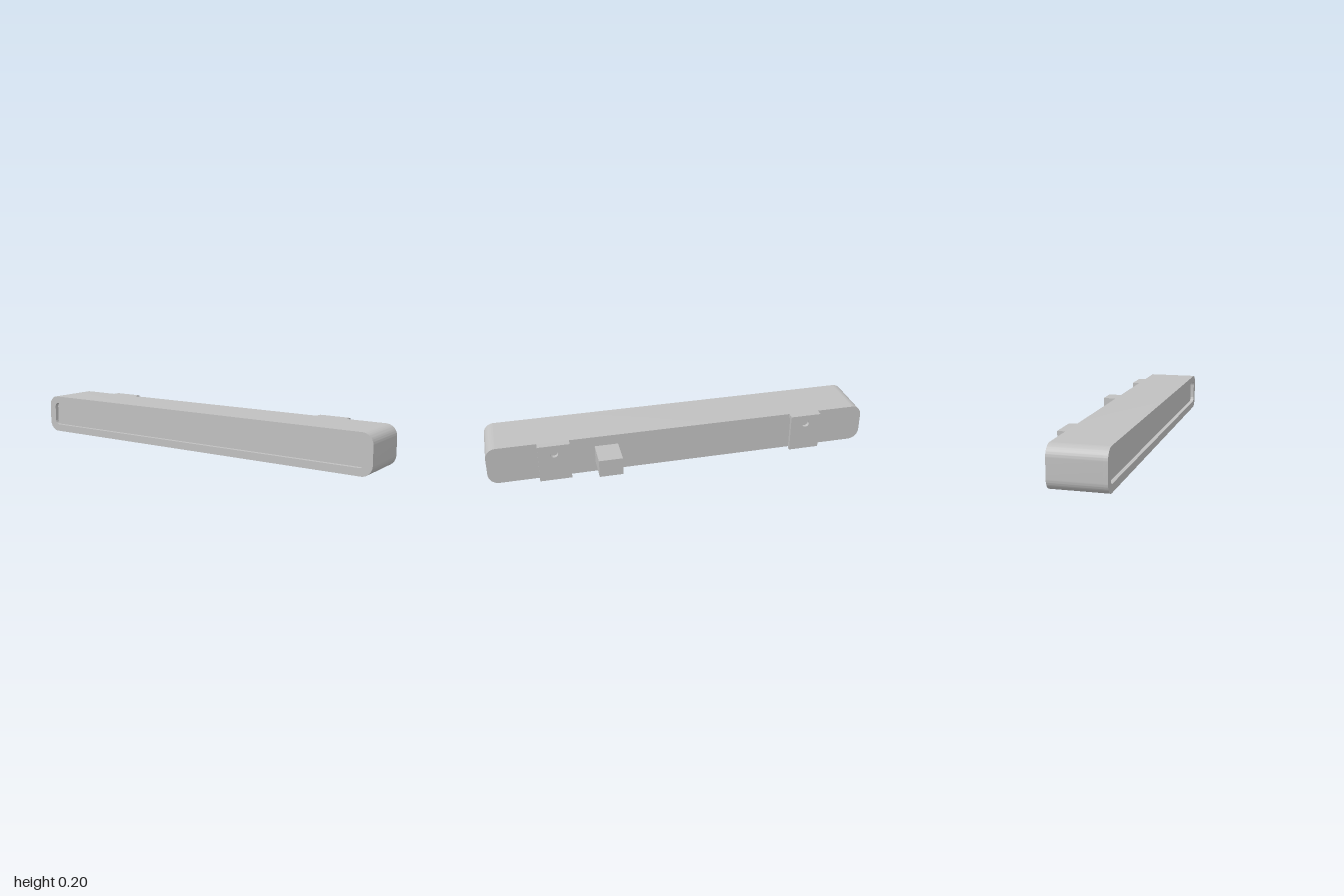
import * as THREE from 'three';
import { toCreasedNormals } from 'three/addons/utils/BufferGeometryUtils.js';

const grey = new THREE.MeshStandardMaterial({ color: 0xc0c0c0 });
grey.name = 'light grey';

// Rounded rectangle outline between two corners
function roundedRect(path, x0, y0, x1, y1, r) {
  path.absarc(x1 - r, y0 + r, r, -Math.PI / 2, 0);
  path.absarc(x1 - r, y1 - r, r, 0, Math.PI / 2);
  path.absarc(x0 + r, y1 - r, r, Math.PI / 2, Math.PI);
  path.absarc(x0 + r, y0 + r, r, Math.PI, Math.PI * 1.5);
  path.closePath();
  return path;
}

function addPart(parent, name, geometry) {
  const mesh = new THREE.Mesh(geometry, grey);
  mesh.name = name;
  parent.add(mesh);
  return mesh;
}

// Extrude a shape from z0 to z1, smooth on curves and sharp on edges
function extrude(shape, z0, z1) {
  const geometry = new THREE.ExtrudeGeometry(shape, { depth: z1 - z0, bevelEnabled: false, curveSegments: 12 });
  geometry.translate(0, 0, z0);
  return toCreasedNormals(geometry, 0.6);
}

// Box given by its minimum and maximum corners
function box(x0, y0, z0, x1, y1, z1) {
  return new THREE.BoxGeometry(x1 - x0, y1 - y0, z1 - z0)
    .translate((x0 + x1) / 2, (y0 + y1) / 2, (z0 + z1) / 2);
}

export function createModel() {
  const model = new THREE.Group();
  model.name = 'wallMountedBar';
  const back = -0.06, front = 0.207, recess = 0.02;

  // Main body, its front face forming the recess floor
  const outline = roundedRect(new THREE.Shape(), -1, 0, 1, 0.2, 0.055);
  addPart(model, 'body', extrude(outline, back, front - recess));

  // Raised rim around the front recess
  const rim = roundedRect(new THREE.Shape(), -1, 0, 1, 0.2, 0.055);
  rim.holes.push(roundedRect(new THREE.Path(), -0.96, 0.038, 0.96, 0.163, 0.025));
  addPart(model, 'frontRim', extrude(rim, front - recess, front));

  // Hanging brackets: top flange and a drilled plate
  for (const [name, x] of [['right', -0.668], ['left', 0.664]]) {
    const bracket = new THREE.Group();
    bracket.name = name + 'Bracket';
    bracket.position.x = x;
    addPart(bracket, 'flange', box(-0.081, 0.182, -0.098, 0.081, 0.2, back));
    const plate = new THREE.Shape();
    plate.moveTo(-0.081, 0.001).lineTo(0.081, 0.001).lineTo(0.081, 0.182).lineTo(-0.081, 0.182).closePath();
    plate.holes.push(new THREE.Path().absarc(0, 0.153, 0.021, 0, Math.PI * 2));
    addPart(bracket, 'plate', extrude(plate, -0.096, -0.077));
    model.add(bracket);
  }

  // Rear connector block
  addPart(model, 'connectorBlock', box(0.336, 0.055, -0.207, 0.456, 0.147, back));
  return model;
}
